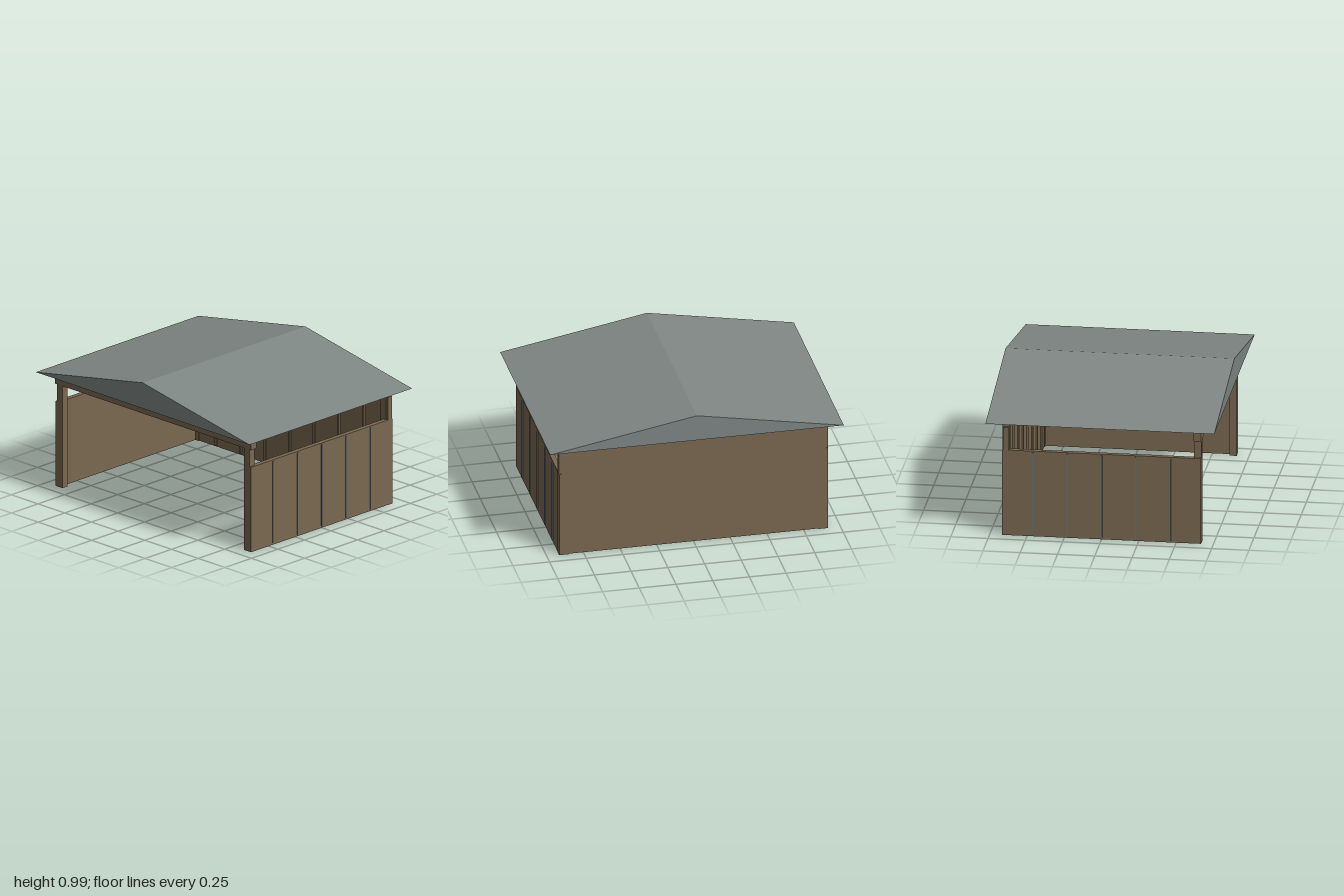
import * as THREE from 'three';

export function createModel() {
  const model = new THREE.Group();
  const paint = (name, color) => Object.assign(new THREE.MeshStandardMaterial({ color }), { name });
  const wood = paint('brown timber', 0x7a6850);
  const roofing = paint('grey roofing', 0x7f8785);
  const trim = paint('slate trim', 0x66717a);

  // Box given by its low and high limits on each axis
  function block(name, material, [x0, x1], [y0, y1], [z0, z1]) {
    const mesh = new THREE.Mesh(new THREE.BoxGeometry(x1 - x0, y1 - y0, z1 - z0), material);
    mesh.position.set((x0 + x1) / 2, (y0 + y1) / 2, (z0 + z1) / 2);
    mesh.name = name;
    model.add(mesh);
  }

  // Solid low-pitched gable roof
  const gable = new THREE.Shape([
    new THREE.Vector2(-1, 0.808), new THREE.Vector2(1, 0.808), new THREE.Vector2(0, 0.99),
  ]);
  const roofGeometry = new THREE.ExtrudeGeometry(gable, { depth: 1.536, bevelEnabled: false });
  roofGeometry.translate(0, 0, -0.768);
  const roof = new THREE.Mesh(roofGeometry, roofing);
  roof.name = 'roof';
  model.add(roof);

  // Back wall with battens on its inner face
  block('backWall', wood, [-0.917, 0.917], [0, 0.76], [-0.66, -0.625]);
  for (let i = -3; i <= 3; i++) {
    const x = i * 0.23;
    block('innerBatten', wood, [x - 0.009, x + 0.009], [0.01, 0.735], [-0.625, -0.614]);
  }

  // Beam over the open front
  block('frontBeam', wood, [-0.917, 0.917], [0.722, 0.778], [0.618, 0.669]);

  for (const side of [-1, 1]) {
    const span = (a, b) => (side > 0 ? [a, b] : [-b, -a]);
    // Corner posts
    block('frontPost', wood, span(0.85, 0.9), [0, 0.81], [0.618, 0.668]);
    block('backPost', wood, span(0.85, 0.9), [0, 0.81], [-0.668, -0.618]);
    // Half-height side wall with slim outer battens
    block('sideWall', wood, span(0.88, 0.915), [0, 0.6], [-0.667, 0.667]);
    for (let i = -2; i <= 2; i++) {
      const z = i * 0.23;
      block('sideBatten', trim, span(0.915, 0.921), [0.012, 0.59], [z - 0.005, z + 0.005]);
    }
  }
  return model;
}
